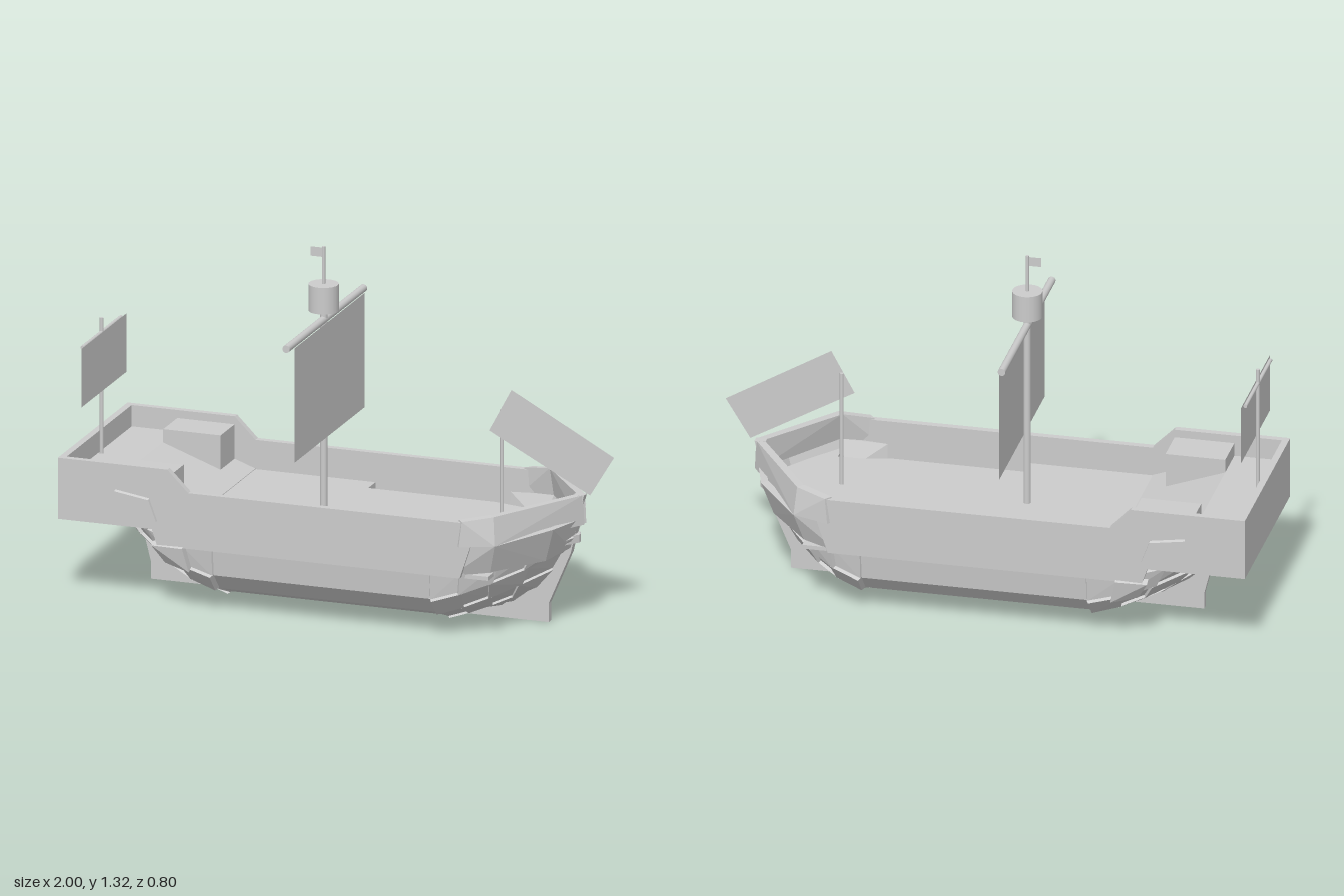
import * as THREE from 'three';
import { ConvexGeometry } from 'three/addons/geometries/ConvexGeometry.js';

const mat = new THREE.MeshStandardMaterial({ color: 0xcccccc, flatShading: true });
const smooth = new THREE.MeshStandardMaterial({ color: 0xcccccc });
const thin = new THREE.MeshStandardMaterial({ color: 0xcccccc, side: THREE.DoubleSide });
const lerp = THREE.MathUtils.lerp;

export function createModel() {
  const ship = new THREE.Group();
  ship.name = 'sailingShip';
  const add = (name, geo, m = mat) => {
    const mesh = new THREE.Mesh(geo, m);
    mesh.name = name;
    ship.add(mesh);
    return mesh;
  };
  // box given by its min and max corners
  const box = (name, x0, x1, y0, y1, z0, z1) =>
    add(name, new THREE.BoxGeometry(x1 - x0, y1 - y0, z1 - z0))
      .position.set((x0 + x1) / 2, (y0 + y1) / 2, (z0 + z1) / 2);
  const pole = (name, x, z, r, y0, y1) =>
    add(name, new THREE.CylinderGeometry(r, r, y1 - y0, 20), smooth).position.set(x, (y0 + y1) / 2, z);
  const yard = (name, x, y, z0, z1, r) => {
    const m = add(name, new THREE.CylinderGeometry(r, r, z1 - z0, 16), smooth);
    m.rotation.x = Math.PI / 2;
    m.position.set(x, y, (z0 + z1) / 2);
  };
  const shapeOf = pts => new THREE.Shape(pts.map(p => new THREE.Vector2(...p)));
  const extrude = (pts, depth) => new THREE.ExtrudeGeometry(shapeOf(pts), { depth, bevelEnabled: false });
  // thick plank from four outer corners [x, y, z], mirrored by side
  const plank = (name, corners, side, tx = 0, ty = 0.012, tz = 0.025) => {
    const pts = [];
    for (const [x, y, z] of corners) {
      pts.push(new THREE.Vector3(x, y, z * side));
      pts.push(new THREE.Vector3(x - tx, y + ty, Math.max(z - tz, -0.01) * side));
    }
    add(name, new ConvexGeometry(pts));
  };

  // keel plate with raked stem and sternpost
  add('keel', extrude([[-0.77, 0], [0.755, 0], [0.755, 0.07], [0.84, 0.27], [0.89, 0.49],
    [0.85, 0.49], [0.78, 0.3], [0.6, 0.1], [-0.6, 0.1], [-0.75, 0.3], [-0.83, 0.3], [-0.77, 0.06]], 0.03))
    .position.z = -0.015;

  // strake edges amidships [y, z], and where each meets the bow and stern [x, y]
  const edge = [[0.24, 0.35], [0.145, 0.34], [0.08, 0.28], [0.03, 0.15], [0.025, 0.025]];
  const stem = [[0.85, 0.34], [0.81, 0.28], [0.77, 0.21], [0.71, 0.14], [0.62, 0.07]];
  const post = [[-0.92, 0.31], [-0.85, 0.25], [-0.78, 0.19], [-0.71, 0.13], [-0.62, 0.06]];
  const at = (j, end, x0, t) => [
    lerp(x0, end[j][0], t),
    lerp(edge[j][0], end[j][1], Math.pow(t, 1.1)),
    lerp(edge[j][1], 0.02, t * t)];
  const SEG = 4;

  for (const s of [1, -1]) {
    for (let j = 0; j < 4; j++) {
      // long midship planks
      const [a, b] = [edge[j], edge[j + 1]];
      plank('midshipPlank', [[-0.42, ...a], [0.43, ...a], [0.43, ...b], [-0.42, ...b]], s);
      // short, slightly overlapping planks closing in on bow and stern
      for (const [name, end, x0] of [['bowPlank', stem, 0.42], ['sternPlank', post, -0.41]]) {
        for (let i = 0; i < SEG; i++) {
          const t0 = i / SEG, t1 = Math.min(1, (i + 1.12) / SEG);
          const out = 0.006 + 0.012 * ((i + j) % 2);
          const lift = p => [p[0] + Math.sign(x0) * out * 0.5, p[1] - out * 0.3, p[2] + out];
          plank(name, [at(j, end, x0, t0), at(j, end, x0, t1),
            at(j + 1, end, x0, t1), at(j + 1, end, x0, t0)].map(lift), s, Math.sign(x0) * 0.015);
        }
      }
    }

    // bow shoulder strake and bow bulwark: [x, yLow, zLow, xTop, yHigh, zHigh]
    const strip = (name, rows, tx) => {
      for (let i = 0; i + 1 < rows.length; i++) {
        const [p, q] = [rows[i], rows[i + 1]];
        plank(name, [p.slice(0, 3), q.slice(0, 3), q.slice(3), p.slice(3)], s, tx, 0);
      }
    };
    strip('bowShoulder', [[0.5, 0.24, 0.35, 0.5, 0.36, 0.36], [0.64, 0.26, 0.31, 0.67, 0.37, 0.345],
      [0.79, 0.27, 0.14, 0.83, 0.4, 0.17], [0.84, 0.29, 0.02, 0.875, 0.4, 0.02]], 0.02);
    strip('bowBulwark', [[0.54, 0.36, 0.37, 0.55, 0.455, 0.365], [0.67, 0.37, 0.345, 0.66, 0.475, 0.33],
      [0.89, 0.38, 0.01, 0.885, 0.49, 0.01]], 0.02);

    // side wall stepping up to the stern castle
    add('sideWall', extrude([[-1, 0.3], [-0.64, 0.3], [-0.62, 0.24], [0.54, 0.24], [0.58, 0.36], [0.56, 0.45],
      [-0.5, 0.45], [-0.58, 0.53], [-1, 0.53]], 0.025)).position.z = s > 0 ? 0.335 : -0.36;
    // raised blocks beside the ramp
    const z = [0.19 * s, 0.335 * s].sort((m, n) => m - n);
    box('sternSideBlock', -0.8, -0.58, 0.34, 0.5, ...z);
    // leaning fender board below the stern wall
    plank('fenderBoard', [[-0.64, 0.24, 0.365], [-0.52, 0.24, 0.37], [-0.5, 0.15, 0.355], [-0.6, 0.17, 0.33]], s);
    plank('sternBracket', [[-0.78, 0.43, 0.37], [-0.65, 0.41, 0.37], [-0.65, 0.31, 0.37], [-0.62, 0.33, 0.37]], s);
  }

  // transom and stern floor
  box('transom', -1, -0.975, 0.3, 0.53, -0.36, 0.36);
  box('sternFloor', -0.99, -0.62, 0.3, 0.32, -0.34, 0.34);
  // stern deck with the ramp down to the main deck
  add('sternDeckAndRamp', extrude([[-0.98, 0.31], [-0.5, 0.31], [-0.5, 0.342], [-0.8, 0.45], [-0.98, 0.45]], 0.67))
    .position.z = -0.335;

  // main deck, notched along both sides, pointed at the bow
  const half = [[-0.55, 0.335], [-0.04, 0.335], [-0.04, 0.26], [0.45, 0.26], [0.56, 0.235], [0.64, 0.235], [0.64, 0.33], [0.87, 0.01]];
  const deck = add('mainDeck', extrude([...half, ...half.map(([x, z]) => [x, -z]).reverse()], 0.03));
  deck.rotation.x = Math.PI / 2;
  deck.position.y = 0.34;
  box('lowerDeck', -0.45, 0.64, 0.235, 0.25, -0.335, 0.335);

  // flat sheet given in its own plane, turned across the ship if wanted
  const sheet = (name, pts, x = 0, across = false) => {
    const m = add(name, new THREE.ShapeGeometry(shapeOf(pts)), thin);
    if (across) m.rotation.y = -Math.PI / 2;
    m.position.x = x;
    return m;
  };
  const rect = (a0, a1, b0, b1) => [[a0, b0], [a1, b0], [a1, b1], [a0, b1]];

  // main mast with yard, sail, lookout and flag
  pole('mainMast', -0.11, 0.01, 0.013, 0.3, 1.09);
  yard('mainYard', -0.11, 1.045, -0.4, 0.4, 0.014);
  sheet('mainSail', rect(-0.375, 0.35, 0.605, 1.035), -0.096, true);
  pole('lookout', -0.11, 0.012, 0.055, 1.08, 1.18);
  pole('flagPole', -0.11, 0.012, 0.006, 1.18, 1.32);
  sheet('flag', rect(-0.16, -0.11, 1.28, 1.315)).position.z = 0.012;

  // mizzen mast
  pole('mizzenMast', -0.962, 0.01, 0.007, 0.44, 0.96);
  yard('mizzenYard', -0.962, 0.905, -0.19, 0.21, 0.007);
  sheet('mizzenSail', rect(-0.22, 0.24, 0.69, 0.91), -0.953, true);

  // fore mast with a tilted sail reaching past the bow
  pole('foreMast', 0.575, 0.012, 0.007, 0.33, 0.78);
  const fore = sheet('foreSail', [[0.615, 0.86], [0.53, 0.7], [0.91, 0.49], [1, 0.64]]);
  fore.geometry.attributes.position.array.forEach((v, i, arr) => {
    if (i % 3 === 2) arr[i] = lerp(0.025, 0, (arr[i - 2] - 0.53) / 0.47);
  });
  fore.geometry.computeVertexNormals();
  return ship;
}
